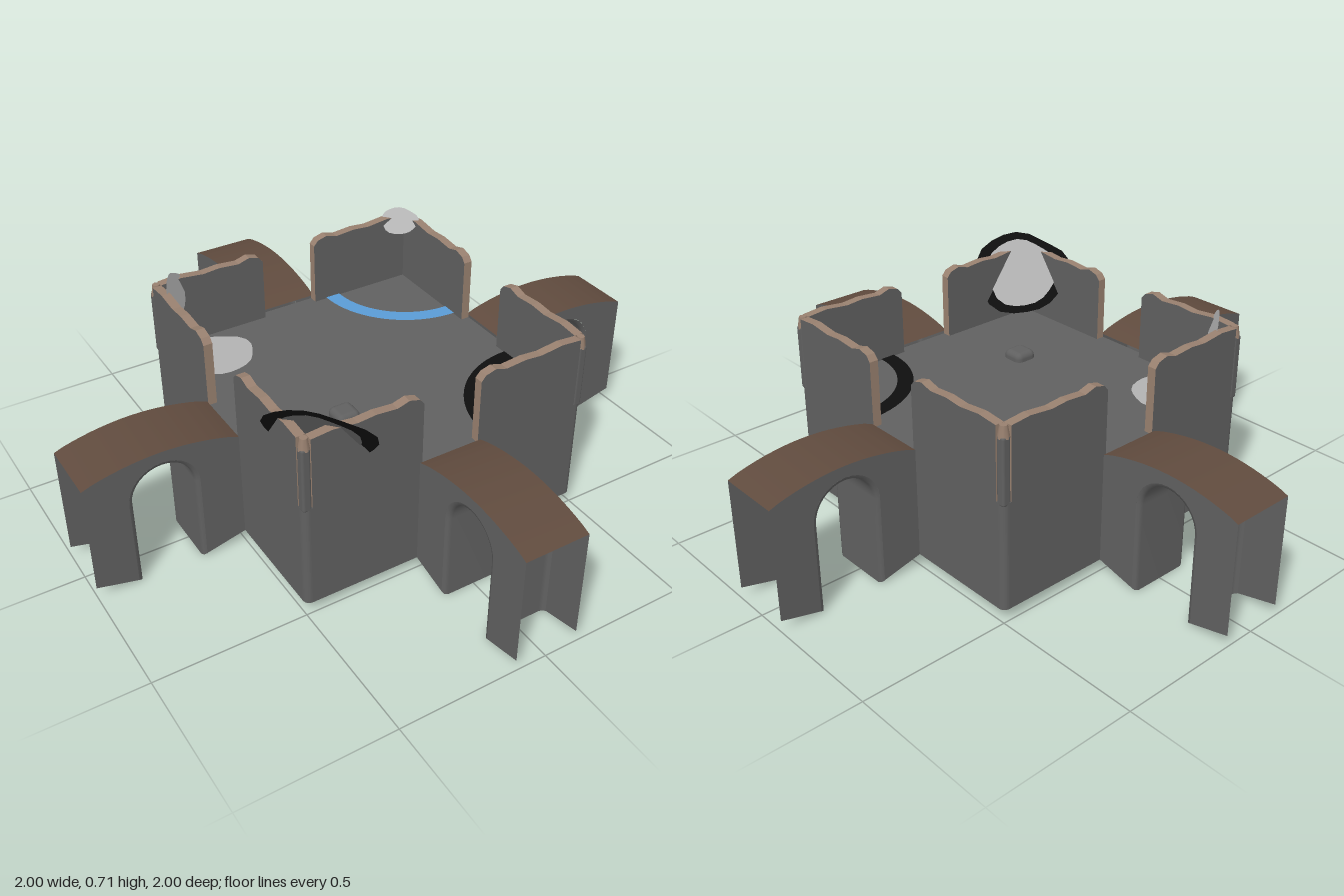
import * as THREE from 'three';
import { RoundedBoxGeometry } from 'three/addons/geometries/RoundedBoxGeometry.js';

const mat = (name, color, side = THREE.FrontSide) => {
  const m = new THREE.MeshStandardMaterial({ color, side });
  m.name = name;
  return m;
};
const stone = mat('stone', 0x606060, THREE.DoubleSide);
const trim = mat('wornEdge', 0x98806f);
const path = mat('pathBrown', 0x604b3e, THREE.DoubleSide);
const pale = mat('paleGrey', 0xb2b2b2);
const black = mat('black', 0x0e0e0e);
const blue = mat('blue', 0x5a9cd6);

function add(parent, name, geometry, material, x = 0, y = 0, z = 0) {
  const m = new THREE.Mesh(geometry, material);
  m.name = name;
  m.position.set(x, y, z);
  parent.add(m);
  return m;
}

// Surface through rows of points
function sheet(rows) {
  const n = rows[0].length, index = [];
  for (let i = 0; i < rows.length - 1; i++)
    for (let j = 0; j < n - 1; j++) {
      const a = i * n + j, b = a + n;
      index.push(a, b, a + 1, b, b + 1, a + 1);
    }
  const g = new THREE.BufferGeometry();
  g.setAttribute('position', new THREE.Float32BufferAttribute(rows.flat(2), 3));
  g.setIndex(index);
  g.computeVertexNormals();
  return g;
}

// Irregular flat patch facing +z
function blob(rx, ry, wobble = 0.05) {
  const pts = [];
  for (let i = 0; i < 22; i++) {
    const a = i / 22 * Math.PI * 2;
    const r = 1 + wobble * Math.sin(3 * a + 1) + wobble * 0.6 * Math.sin(5 * a);
    pts.push(new THREE.Vector2(rx * r * Math.cos(a), ry * r * Math.sin(a)));
  }
  return new THREE.ShapeGeometry(new THREE.Shape(pts));
}

function facing(mesh, nx, ny, nz) {
  mesh.lookAt(mesh.position.clone().add(new THREE.Vector3(nx, ny, nz)));
  return mesh;
}

// Hollow arched bridge running out along +x, open at the far end
function bridge() {
  const g = new THREE.Group();
  const W = 0.108, C = 0.75, SPRING = 0.3, N = 16;
  const topY = t => 0.41 + 0.043 * Math.pow(Math.sin(Math.PI * t), 0.8);
  const tops = [], edge = [];
  for (let i = 0; i <= N; i++) {
    const x = 0.5 + 0.5 * i / N, y = topY(i / N);
    tops.push([[x, y, W], [x, y, -W]].reverse());
    edge.push([x, y]);
  }
  add(g, 'bridgePath', sheet(tops), path);

  // Side panels with the arch cut out
  const s = new THREE.Shape();
  s.moveTo(0.5, 0.04);
  edge.forEach(([x, y]) => s.lineTo(x, y));
  s.lineTo(1, 0.04);
  s.lineTo(C + 0.115, 0.007);
  s.lineTo(C + 0.115, SPRING);
  s.absarc(C, SPRING, 0.115, 0, Math.PI, false);
  s.lineTo(C - 0.115, 0.007);
  const panel = new THREE.ShapeGeometry(s, 16);
  add(g, 'bridgeSide', panel, stone, 0, 0, W);
  add(g, 'bridgeSide', panel, stone, 0, 0, -W).material = stone;

  // Arch lining with softened rims
  const section = [[-W, 0.115], [-0.104, 0.105], [-0.093, 0.1], [0.093, 0.1], [0.104, 0.105], [W, 0.115]];
  const rows = section.map(([w, r]) => {
    const foot = (r - 0.1) * 0.4, row = [[C + r, foot, w]];
    for (let i = 0; i <= 16; i++) {
      const a = i / 16 * Math.PI;
      row.push([C + r * Math.cos(a), SPRING + r * Math.sin(a), w]);
    }
    row.push([C - r, foot, w]);
    return row;
  });
  add(g, 'archLining', sheet(rows), stone);
  return g;
}

// Battered wall panel: grey faces, worn edges
function wall(dir) {
  const profile = [[0.1, 0.39], [0.1, 0.62], [0.115, 0.638], [0.15, 0.648], [0.19, 0.636],
    [0.26, 0.642], [0.32, 0.637], [0.4, 0.646], [0.47, 0.64], [0.47, 0.39]];
  const s = new THREE.Shape(profile.map(([u, y]) => new THREE.Vector2(u * dir, y)));
  return new THREE.ExtrudeGeometry(s, { depth: 0.03, bevelEnabled: false });
}

// Flat quarter ring on the floor
function quarterRing(start) {
  const s = new THREE.Shape();
  s.absarc(0, 0, 0.325, start, start + Math.PI / 2, false);
  s.absarc(0, 0, 0.272, start + Math.PI / 2, start, true);
  return new THREE.ShapeGeometry(s, 10).rotateX(-Math.PI / 2);
}

export function createModel() {
  const root = new THREE.Group();
  root.name = 'courtyardTile';

  // Base block with softened upright corners
  const b = 0.5, r = 0.022, sq = new THREE.Shape();
  [[1, 1, 0], [-1, 1, 1], [-1, -1, 2], [1, -1, 3]].forEach(([x, y, q]) =>
    sq.absarc(x * (b - r), y * (b - r), r, q * Math.PI / 2, (q + 1) * Math.PI / 2, false));
  const base = new THREE.ExtrudeGeometry(sq, { depth: 0.36, bevelEnabled: false, curveSegments: 4 });
  add(root, 'base', base.rotateX(-Math.PI / 2), stone, 0, 0.04, 0);

  for (let i = 0; i < 4; i++) {
    const g = bridge();
    g.name = 'bridge';
    g.rotation.y = i * Math.PI / 2;
    root.add(g);
  }

  // Corner walls with chipped posts
  for (const sx of [-1, 1]) for (const sz of [-1, 1]) {
    add(root, 'wall', wall(sx), [stone, trim], 0, 0, sz > 0 ? 0.47 : -0.5);
    add(root, 'wall', wall(sz).rotateY(-Math.PI / 2), [stone, trim], sx > 0 ? 0.5 : -0.47, 0, 0);
    add(root, 'cornerPost', new RoundedBoxGeometry(0.03, 0.22, 0.03, 2, 0.008), stone, sx * 0.485, 0.5, sz * 0.485);
    add(root, 'cornerChip', new THREE.CylinderGeometry(0.012, 0.019, 0.04, 8), trim, sx * 0.483, 0.622, sz * 0.483);
  }

  // Floor markings and stud
  add(root, 'blueArc', quarterRing(Math.PI), blue, 0.47, 0.404, -0.47);
  add(root, 'blackArc', quarterRing(Math.PI / 2), black, 0.47, 0.404, 0.47);
  add(root, 'floorPatch', blob(0.112, 0.115).rotateX(-Math.PI / 2), pale, -0.34, 0.404, -0.34);
  add(root, 'floorStud', new RoundedBoxGeometry(0.08, 0.06, 0.08, 3, 0.02), stone, -0.17, 0.4, 0.175);

  // Large tilted disc across the front corner, pale inside and dark behind
  const n = [0.62, 0.45, -0.62], c = [-0.4, 0.575, 0.42];
  const at = d => c.map((v, i) => v + n[i] * d);
  facing(add(root, 'cornerDisc', blob(0.125, 0.12), pale, ...at(0.004)), ...n);
  facing(add(root, 'cornerDiscRim', blob(0.165, 0.145, 0.06), black, ...at(0.001)), ...n);
  facing(add(root, 'cornerDiscBack', blob(0.165, 0.145, 0.06), black, ...at(-0.001)), ...n.map(v => -v));
  facing(add(root, 'cornerDiscCore', blob(0.12, 0.125), stone, ...at(-0.004)), ...n.map(v => -v));

  // Small pale discs in the rear corners
  facing(add(root, 'rearDisc', blob(0.064, 0.07), pale, -0.435, 0.62, -0.435), 1, 0.35, 1);
  facing(add(root, 'rearDisc', blob(0.065, 0.05), pale, 0.435, 0.64, -0.445), -0.6, 0.9, 0.6);
  return root;
}
